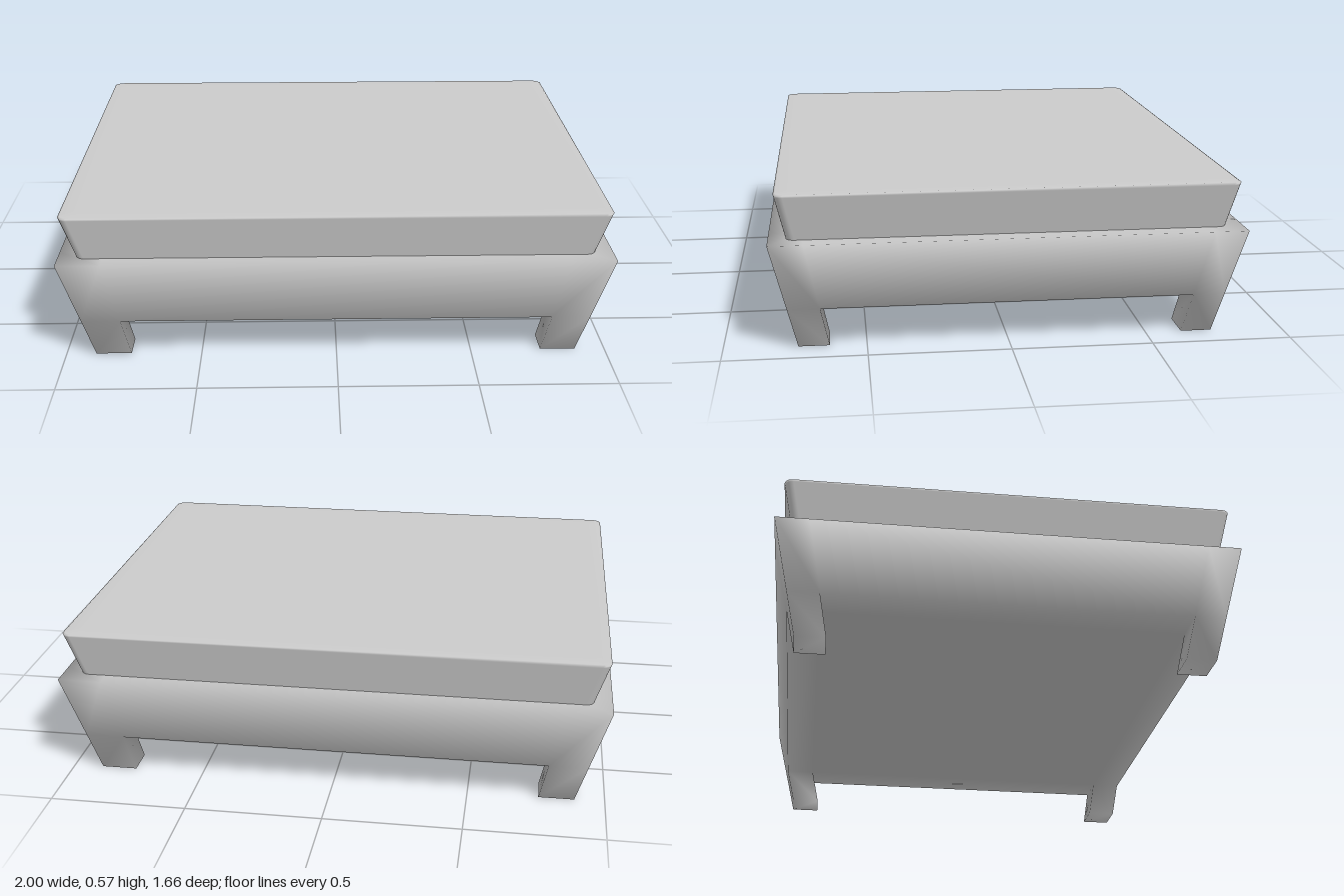
import * as THREE from 'three';

const material = new THREE.MeshStandardMaterial({ color: 0xcccccc });

function smoothMesh(name, positions, indices) {
  const geometry = new THREE.BufferGeometry();
  geometry.setAttribute('position', new THREE.Float32BufferAttribute(positions, 3));
  geometry.setIndex(indices);
  geometry.computeVertexNormals();
  const mesh = new THREE.Mesh(geometry, material);
  mesh.name = name;
  return mesh;
}

// Flared base: a 3 x 2 x 3 cage of cells whose lower layer keeps only the corner legs
function createBase() {
  const levels = [0, 0.15, 0.4];
  const solid = ([i, j, k]) =>
    i >= 0 && i < 3 && k >= 0 && k < 3 && (j === 1 || (j === 0 && i !== 1 && k !== 1));
  const positions = [], indices = [], shared = new Map();

  const vertex = ([i, j, k]) => {
    const key = `${i},${j},${k}`;
    if (!shared.has(key)) {
      const y = levels[j];
      const side = (n, inner, outer) => (n < 2 ? -1 : 1) * (n % 3 === 0 ? outer : inner);
      positions.push(
        side(i, 0.76 + 0.2 * y, 0.89 + 0.275 * y),
        y,
        side(k, 0.63 + 0.2 * y, 0.74 + 0.225 * y));
      shared.set(key, shared.size);
    }
    return shared.get(key);
  };

  for (let i = 0; i < 3; i++) for (let j = 0; j < 2; j++) for (let k = 0; k < 3; k++) {
    const cell = [i, j, k];
    if (!solid(cell)) continue;
    for (let d = 0; d < 3; d++) for (const dir of [-1, 1]) {
      const neighbour = [...cell];
      neighbour[d] += dir;
      if (solid(neighbour)) continue;
      const quad = [[0, 0], [1, 0], [1, 1], [0, 1]].map(([u, v]) => {
        const corner = [...cell];
        corner[d] += dir > 0 ? 1 : 0;
        corner[(d + 1) % 3] += u;
        corner[(d + 2) % 3] += v;
        return vertex(corner);
      });
      if (dir < 0) quad.reverse();
      const [a, b, c, e] = quad;
      indices.push(a, b, c, a, c, e);
    }
  }
  return smoothMesh('baseWithLegs', positions, indices);
}

// Flared cushion: stacked rounded rectangles, closed on top
function createCushion() {
  const rings = [ // y, half width, half depth, corner radius
    [0.39, 0.932, 0.767, 0.03],
    [0.56, 0.982, 0.803, 0.03],
    [0.567, 0.984, 0.805, 0.03],
    [0.57, 0.978, 0.799, 0.03],
    [0.571, 0.92, 0.745, 0.02],
  ];
  const steps = 5, count = 4 * (steps + 1);
  const positions = [], indices = [];
  for (const [y, w, d, r] of rings) {
    for (let q = 0; q < 4; q++) for (let s = 0; s <= steps; s++) {
      const angle = (q + s / steps) * Math.PI / 2;
      const sx = q === 0 || q === 3 ? 1 : -1, sz = q < 2 ? 1 : -1;
      positions.push(sx * (w - r) + r * Math.cos(angle), y, sz * (d - r) + r * Math.sin(angle));
    }
  }
  for (let n = 0; n < rings.length - 1; n++) for (let i = 0; i < count; i++) {
    const a = n * count + i, b = n * count + (i + 1) % count;
    indices.push(a, a + count, b, b, a + count, b + count);
  }
  const center = positions.length / 3, last = (rings.length - 1) * count;
  positions.push(0, 0.571, 0);
  for (let i = 0; i < count; i++) indices.push(center, last + (i + 1) % count, last + i);
  return smoothMesh('cushion', positions, indices);
}

export function createModel() {
  const model = new THREE.Group();
  model.name = 'ottoman';
  model.add(createBase(), createCushion());
  return model;
}
